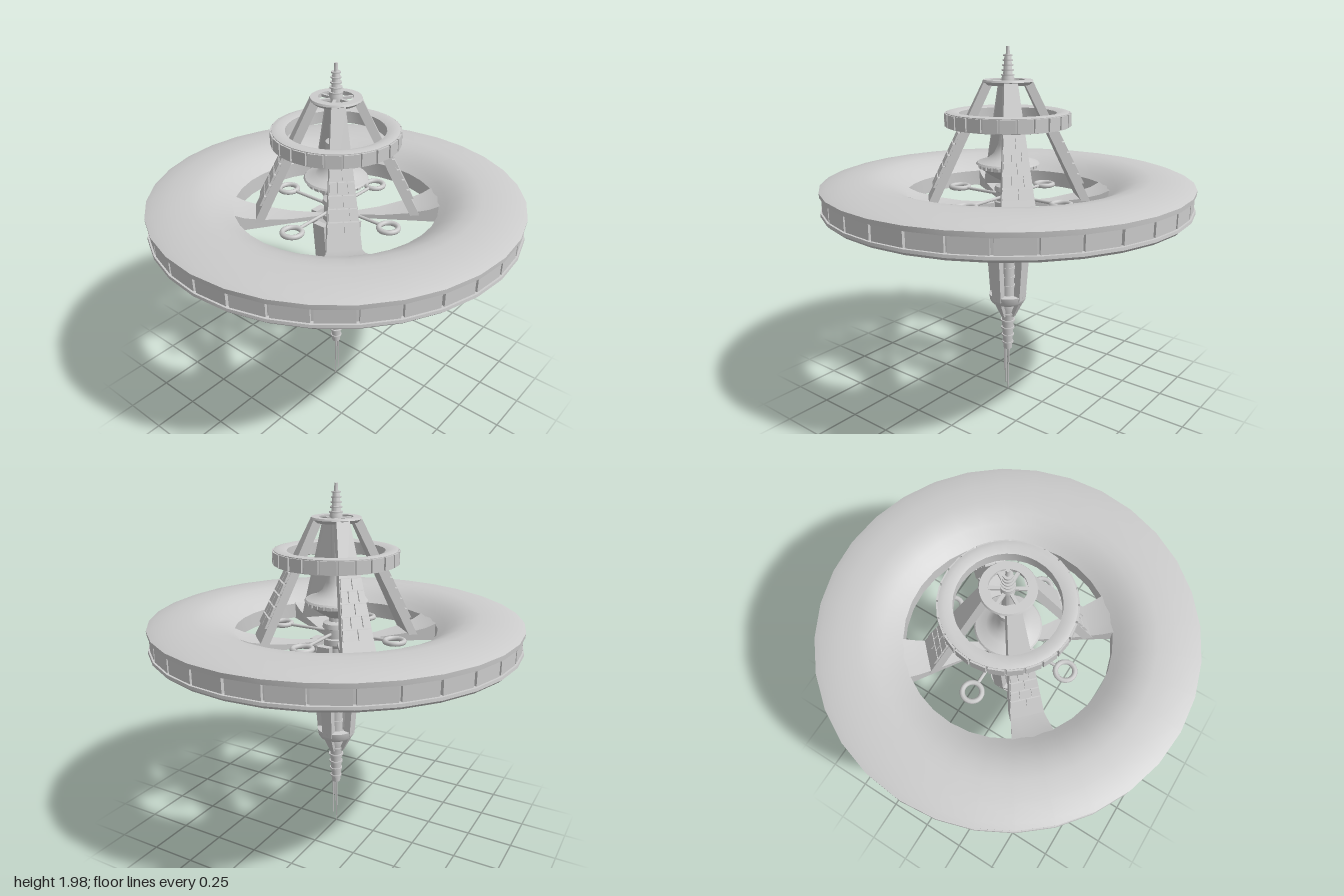
import * as THREE from 'three';
import { toCreasedNormals } from 'three/addons/utils/BufferGeometryUtils.js';

const mat = new THREE.MeshStandardMaterial({ color: 0xcccccc, side: THREE.DoubleSide });
const { lerp } = THREE.MathUtils;

export function createModel() {
  const root = new THREE.Group();

  const add = (parent, name, geo, x = 0, y = 0, z = 0) => {
    const m = new THREE.Mesh(geo, mat);
    m.name = name;
    m.position.set(x, y, z);
    parent.add(m);
    return m;
  };

  // Turned part from [radius, height] points
  const turned = (parent, name, pts, segs = 32, start = 0, len = Math.PI * 2) => {
    const g = new THREE.LatheGeometry(pts.map(p => new THREE.Vector2(...p)), segs, start, len);
    return add(parent, name, toCreasedNormals(g, 0.6));
  };

  // Repeats a part around the vertical axis; parts are drawn facing +z
  const around = (name, count, offset, build) => {
    const all = new THREE.Group();
    all.name = name;
    root.add(all);
    for (let i = 0; i < count; i++) {
      const g = new THREE.Group();
      g.rotation.y = offset + (i * Math.PI * 2) / count;
      all.add(g);
      build(g, i);
    }
  };

  // Leaning tapered plank; each end is [height, radius, width]
  const plank = (a, b, thick, x0 = 0, x1 = x0) => {
    const g = new THREE.BoxGeometry(1, 1, 1);
    const p = g.attributes.position;
    for (let i = 0; i < p.count; i++) {
      const k = p.getY(i) + 0.5;
      p.setXYZ(i, p.getX(i) * lerp(a[2], b[2], k) + lerp(x0, x1, k),
        lerp(a[0], b[0], k), lerp(a[1], b[1], k) + p.getZ(i) * thick);
    }
    g.computeVertexNormals();
    return g;
  };

  // Main disc with a recessed window band
  turned(root, 'mainDisc', [
    [0.55, 1.135], [0.57, 1.13], [0.80, 1.125], [0.93, 1.128], [0.94, 1.14], [0.985, 1.14], [1, 1.155],
    [0.998, 1.17], [0.972, 1.17], [0.972, 1.25], [0.998, 1.25], [1, 1.275], [0.965, 1.288],
    [0.88, 1.303], [0.77, 1.311], [0.70, 1.303], [0.64, 1.28], [0.59, 1.25], [0.55, 1.222], [0.55, 1.135],
  ]);
  around('discWindows', 32, Math.PI / 32, g =>
    add(g, 'discWindow', new THREE.BoxGeometry(0.178, 0.076, 0.03), 0, 1.21, 0.97));

  // Four wedge spokes, dished on top
  const wedge = [[0.02, 1.13], [0.56, 1.13], [0.56, 1.228], [0.5, 1.2], [0.4, 1.175], [0.25, 1.155], [0.02, 1.15], [0.02, 1.13]];
  const half = Math.PI / 16;
  around('spokes', 4, Math.PI / 4, g => {
    turned(g, 'spoke', wedge, 4, -half, half * 2);
    for (const s of [-1, 1]) {
      const cap = new THREE.ShapeGeometry(new THREE.Shape(wedge.map(p => new THREE.Vector2(...p))));
      add(g, 'spokeSide', cap).rotation.y = -Math.PI / 2 + s * half;
    }
  });

  // Leaning legs with raised tiles on the outer face
  const legR = y => lerp(0.375, 0.105, (y - 1.25) / 0.55);
  const legW = y => lerp(0.165, 0.07, (y - 1.25) / 0.55);
  around('legs', 4, Math.PI / 4, g => {
    add(g, 'leg', plank([1.165, legR(1.165), legW(1.165)], [1.8, legR(1.8), legW(1.8)], 0.05));
    for (let row = 0; row < 5; row++) {
      const y0 = 1.26 + row * 0.058, y1 = y0 + 0.05;
      const cols = row % 2 ? [[-0.5, -0.2], [-0.2, 0.2], [0.2, 0.5]] : [[-0.5, 0], [0, 0.5]];
      for (const [l, r] of cols) {
        const c = (l + r) / 2, w = r - l;
        add(g, 'legTile', plank([y0, legR(y0) + 0.028, legW(y0) * w - 0.006],
          [y1, legR(y1) + 0.028, legW(y1) * w - 0.006], 0.02, c * legW(y0), c * legW(y1)));
      }
    }
  });

  // Upper ring with window panels
  turned(root, 'upperRing', [[0.26, 1.575], [0.30, 1.565], [0.328, 1.57], [0.328, 1.645], [0.30, 1.652], [0.26, 1.64], [0.26, 1.575]]);
  around('upperRingWindows', 24, Math.PI / 24, g =>
    add(g, 'upperRingWindow', new THREE.BoxGeometry(0.076, 0.066, 0.03), 0, 1.608, 0.32));

  // Crown plate held by six thin arms, and the antenna
  turned(root, 'crownPlate', [[0.09, 1.79], [0.115, 1.785], [0.135, 1.802], [0.13, 1.812], [0.09, 1.812], [0.09, 1.79]]);
  around('crownArms', 6, 0, g => add(g, 'crownArm', new THREE.BoxGeometry(0.016, 0.014, 0.08), 0, 1.8, 0.06));
  turned(root, 'antenna', [[0, 1.78], [0.034, 1.78], [0.034, 1.82], [0.025, 1.84], [0.018, 1.93], [0.011, 1.94], [0.009, 1.98], [0, 1.98]], 16);
  for (let i = 0; i < 5; i++) {
    const r = 0.036 - i * 0.003;
    add(root, 'antennaRing', new THREE.CylinderGeometry(r, r, 0.007, 16), 0, 1.835 + i * 0.025, 0);
  }

  // Bell-shaped command pod on the central column
  turned(root, 'pod', [
    [0, 1.27], [0.05, 1.28], [0.10, 1.31], [0.14, 1.338], [0.15, 1.345], [0.15, 1.366], [0.172, 1.369], [0.165, 1.378],
    [0.11, 1.395], [0.075, 1.425], [0.052, 1.47], [0.042, 1.53], [0.055, 1.535], [0.055, 1.575], [0.03, 1.58], [0.03, 1.79],
  ]);
  around('podWindows', 24, 0, g => add(g, 'podWindow', new THREE.BoxGeometry(0.028, 0.017, 0.016), 0, 1.355, 0.15));

  // Hub with docking rings on arms
  turned(root, 'hub', [[0, 1.11], [0.06, 1.11], [0.075, 1.13], [0.075, 1.16], [0.065, 1.165], [0.065, 1.215], [0.075, 1.22], [0.07, 1.245], [0.04, 1.255], [0.035, 1.3]], 24);
  around('dockingArms', 4, 0, g => {
    const rod = add(g, 'dockingRod', new THREE.CylinderGeometry(0.009, 0.009, 0.24, 8), 0, 1.19, 0.175);
    rod.rotation.x = Math.PI / 2;
    const ring = add(g, 'dockingRing', new THREE.TorusGeometry(0.051, 0.014, 8, 24), 0, 1.19, 0.35);
    ring.rotation.x = Math.PI / 2;
  });

  // Lower column with bands, struts and collar
  add(root, 'lowerColumn', new THREE.CylinderGeometry(0.037, 0.037, 0.65, 16), 0, 0.82, 0);
  for (let i = 0; i < 9; i++)
    add(root, 'columnBand', new THREE.CylinderGeometry(0.041, 0.041, 0.012, 16), 0, 0.66 + i * 0.055, 0);
  around('struts', 4, 0, g => {
    add(g, 'strut', plank([0.59, 0.085, 0.06], [1.14, 0.127, 0.075], 0.038));
    add(g, 'collarFin', plank([0.48, 0.035, 0.02], [0.58, 0.085, 0.045], 0.024));
  });
  turned(root, 'collar', [[0.07, 0.575], [0.092, 0.565], [0.102, 0.58], [0.107, 0.615], [0.07, 0.62], [0.07, 0.575]], 24);

  // Ringed stem and probe needles
  turned(root, 'stem', [[0, 0.27], [0.024, 0.27], [0.028, 0.33], [0.033, 0.42], [0.036, 0.49], [0.045, 0.52], [0.04, 0.56]], 16);
  for (let i = 0; i < 5; i++) {
    const r = 0.033 + i * 0.003;
    add(root, 'stemRing', new THREE.CylinderGeometry(r, r, 0.009, 16), 0, 0.31 + i * 0.046, 0);
  }
  for (const [x, z, low] of [[0, -0.004, 0], [-0.014, 0.012, 0.12], [0.012, 0.004, 0.18], [0.002, 0.018, 0.05]])
    add(root, 'needle', new THREE.CylinderGeometry(0.005, 0.003, 0.29 - low, 6), x, (0.29 + low) / 2, z);

  return root;
}
